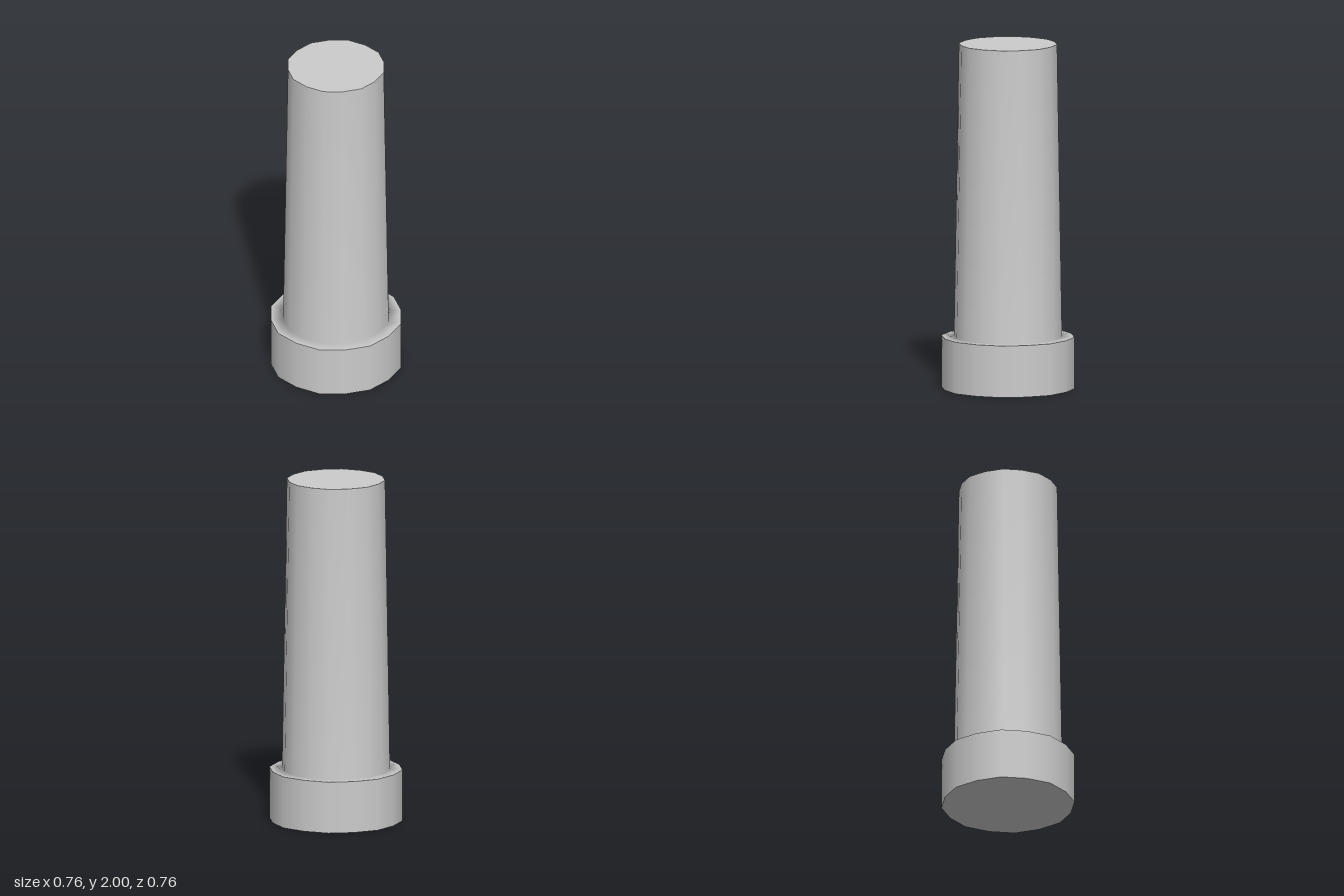
import * as THREE from 'three';

const SIDES = 16;
const BASE_RADIUS = 0.378;
const BASE_TOP = 0.3;
const SHAFT_BOTTOM = 0.307;
const SHAFT_TOP = 0.279;
const HEIGHT = 2;

// Turns a profile around y; every second corner sits slightly further out.
function turned(name, profile, material) {
  const points = profile.map(([r, y]) => new THREE.Vector2(r, y));
  const geometry = new THREE.LatheGeometry(points, SIDES);
  const position = geometry.attributes.position;
  for (let i = 0; i < position.count; i++) {
    const column = Math.floor(i / points.length);
    const k = column % 2 ? 1.018 : 1;
    position.setX(i, position.getX(i) * k);
    position.setZ(i, position.getZ(i) * k);
  }
  const mesh = new THREE.Mesh(geometry, material);
  mesh.name = name;
  return mesh;
}

export function createModel() {
  const group = new THREE.Group();
  group.name = 'column';
  const material = new THREE.MeshStandardMaterial({ color: 0xcccccc });

  group.add(
    // Flat underside and upright wall of the wide foot
    turned('baseUnderside', [[0, 0], [BASE_RADIUS, 0]], material),
    turned('baseWall', [[BASE_RADIUS, 0], [BASE_RADIUS, BASE_TOP]], material),
    // Ledge shading smoothly into the tapered shaft
    turned('shaftAndLedge', [
      [BASE_RADIUS, BASE_TOP], [SHAFT_BOTTOM, BASE_TOP], [SHAFT_TOP, HEIGHT],
    ], material),
    // Flat top
    turned('shaftTop', [[SHAFT_TOP, HEIGHT], [0, HEIGHT]], material),
  );
  return group;
}
